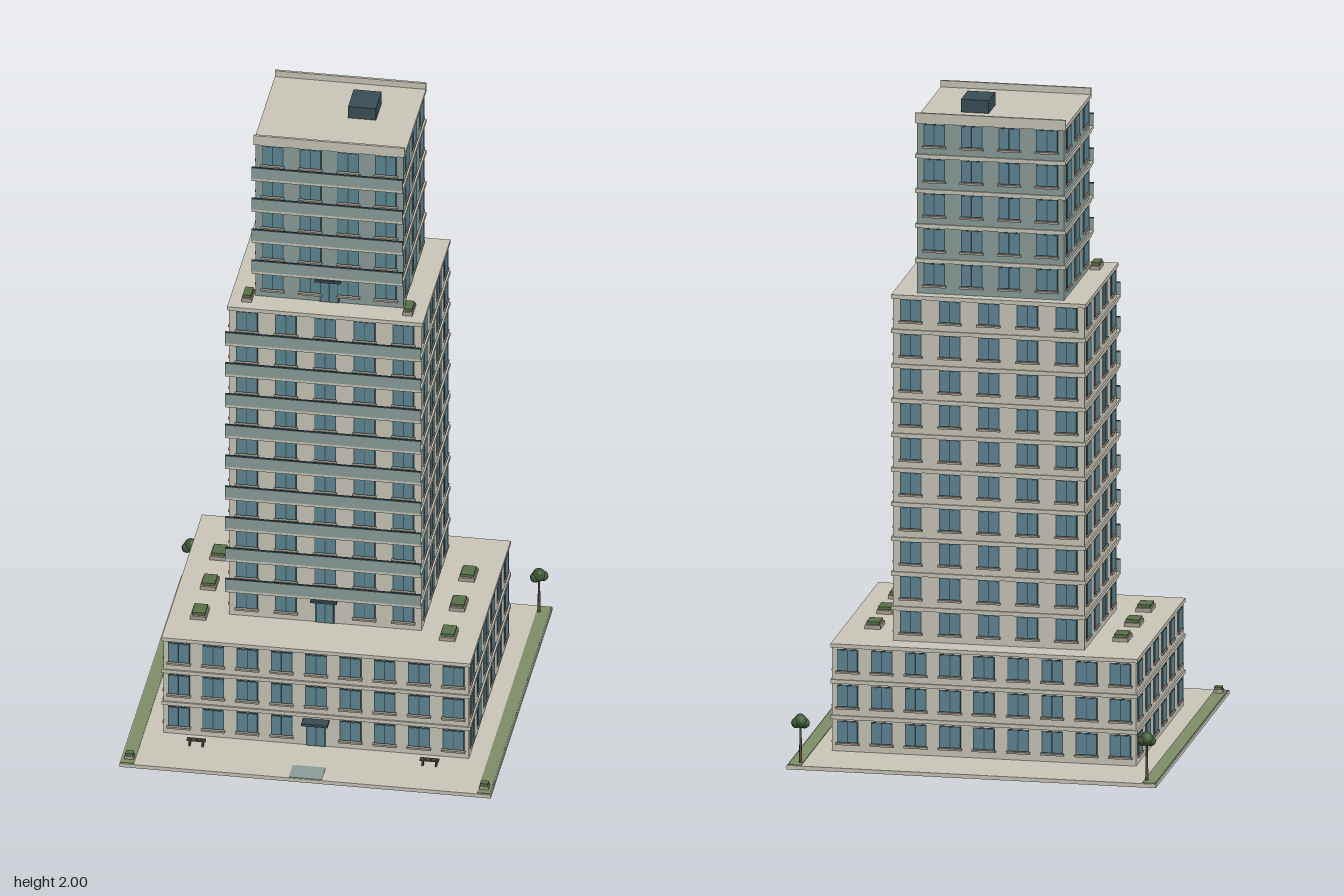
import * as THREE from 'three';
import { mergeGeometries } from 'three/addons/utils/BufferGeometryUtils.js';

const mat = (name, color) => {
  const m = new THREE.MeshStandardMaterial({ color });
  m.name = name;
  return m;
};

export function createModel() {
  const root = new THREE.Group();
  root.name = 'steppedTower';
  const M = {
    stone: mat('stone', 0xcbc8ba),
    trim: mat('trim', 0xaaa295),
    tealWall: mat('teal cladding', 0x8c9f9b),
    glass: mat('window glass', 0x5f8794),
    dark: mat('dark metal', 0x3a4e55),
    grass: mat('grass', 0x7f9068),
    leaf: mat('foliage', 0x3f5a38),
    hedge: mat('hedge', 0x5a7148),
    wood: mat('wood', 0x5a4a3c),
  };

  // Box given by its limits on each axis
  const box = (x0, x1, y0, y1, z0, z1) =>
    new THREE.BoxGeometry(x1 - x0, y1 - y0, z1 - z0)
      .translate((x0 + x1) / 2, (y0 + y1) / 2, (z0 + z1) / 2);
  const centred = (x, y0, z, w, h, d) =>
    box(x - w / 2, x + w / 2, y0, y0 + h, z - d / 2, z + d / 2);
  const add = (parent, name, material, parts) => {
    const mesh = new THREE.Mesh(mergeGeometries(parts), material);
    mesh.name = name;
    parent.add(mesh);
    return mesh;
  };
  const group = (name) => {
    const g = new THREE.Group();
    g.name = name;
    root.add(g);
    return g;
  };

  // One tier: walls, floor bands, windows on four sides, door and balconies
  function tier(name, o) {
    const g = group(name);
    const { w, zb, zf, y0, fh, floors, nx, nz, wall, balcony } = o;
    const top = y0 + fh * floors, e = 0.005;
    add(g, 'walls', wall, [box(-w + e, w - e, y0, top - 0.002, zb + e, zf - e)]);

    const bands = [], sills = [], frames = [], panes = [];
    for (let f = 1; f <= floors; f++) {
      const y = y0 + f * fh;
      bands.push(box(-w, w, y - 0.012, y, zb, zf));
    }
    add(g, 'floorBands', M.stone, bands);

    // Windows are made facing +z, then turned onto each side
    const cx = (zb + zf) / 2, depth = zf - zb;
    const sides = [
      { a: 0, n: nx, len: 2 * w, off: depth / 2, front: true },
      { a: Math.PI, n: nx, len: 2 * w, off: depth / 2 },
      { a: Math.PI / 2, n: nz, len: depth, off: w },
      { a: -Math.PI / 2, n: nz, len: depth, off: w },
    ];
    for (const s of sides) {
      const place = (geo) => geo.rotateY(s.a).translate(0, 0, cx);
      const face = s.off - e;
      for (let f = 0; f < floors; f++) {
        for (let i = 0; i < s.n; i++) {
          const x = ((i + 0.5) / s.n - 0.5) * s.len;
          if (s.front && f === 0 && Math.abs(x) < 0.03) continue;
          const y = y0 + f * fh + 0.027;
          frames.push(place(box(x - 0.033, x + 0.033, y, y + 0.068, face, face + 0.002)));
          for (const k of [-1, 1])
            panes.push(place(centred(x + k * 0.0157, y + 0.003, face + 0.0022, 0.0285, 0.062, 0.003)));
          sills.push(place(box(x - 0.036, x + 0.036, y - 0.006, y, face,
            face + (s.off === w ? 0.006 : 0.011))));
        }
      }
    }
    add(g, 'windowFrames', M.dark, frames);
    add(g, 'windowPanes', M.glass, panes);
    add(g, 'windowSills', M.trim, sills);

    // Entrance with canopy
    const d = zf - e;
    add(g, 'doorFrame', M.dark, [
      box(-0.03, 0.03, y0, y0 + 0.086, d, d + 0.003),
      box(-0.04, 0.04, y0 + 0.084, y0 + 0.092, d, zf + 0.03),
    ]);
    add(g, 'doorLeaves', M.glass, [-1, 1].map((k) =>
      centred(k * 0.0135, y0 + 0.003, d + 0.003, 0.023, 0.077, 0.004)));

    // Balconies across the front of the upper floors
    if (balcony) {
      const slabs = [], rails = [], caps = [], out = zf + balcony;
      for (let f = 1; f < floors; f++) {
        const y = y0 + f * fh;
        slabs.push(box(-w, w, y - 0.008, y, zf - e, out));
        rails.push(box(-w, w, y, y + 0.036, out - 0.003, out));
        caps.push(box(-w, w, y + 0.036, y + 0.04, out - 0.004, out + 0.001));
      }
      add(g, 'balconySlabs', M.stone, slabs);
      add(g, 'balconyPanels', M.tealWall, rails);
      add(g, 'balconyHandrails', M.dark, caps);
    }
    return g;
  }

  const base = 0.012;
  tier('podium', { w: 0.47, zb: -0.37, zf: 0.365, y0: base, fh: 0.111, floors: 3,
    nx: 9, nz: 6, wall: M.stone });
  tier('middleTower', { w: 0.298, zb: -0.3, zf: 0.2, y0: 0.345, fh: 0.1075, floors: 10,
    nx: 5, nz: 4, wall: M.stone, balcony: 0.034 });
  const crown = tier('upperTower', { w: 0.23, zb: -0.27, zf: 0.125, y0: 1.42, fh: 0.108,
    floors: 5, nx: 4, nz: 3, wall: M.tealWall, balcony: 0.037 });

  // Roof parapets and plant room
  add(crown, 'roofParapets', M.stone, [
    box(-0.23, 0.23, 1.96, 1.98, -0.27, -0.262),
    box(-0.23, 0.23, 1.96, 1.98, 0.117, 0.125),
  ]);
  add(crown, 'plantRoom', M.dark, [box(0.027, 0.112, 1.96, 2.0, -0.16, -0.058)]);

  // Ground slab, grass strips and entrance mat
  const site = group('site');
  add(site, 'groundSlab', M.stone, [box(-0.565, 0.565, 0, base, -0.562, 0.562)]);
  add(site, 'grassStrips', M.grass, [-1, 1].map((s) =>
    centred(s * 0.542, base, 0, 0.04, 0.002, 1.115)));
  add(site, 'entranceMat', M.tealWall, [box(-0.05, 0.05, base, base + 0.002, 0.487, 0.56)]);

  // Planters: terraces and front corners
  const boxes = [], hedges = [];
  const planter = (x, y, z, w, d) => {
    boxes.push(centred(x, y, z, w, 0.012, d));
    hedges.push(centred(x, y + 0.012, z, w * 0.84, 0.009, d * 0.8));
  };
  for (const s of [-1, 1]) {
    for (const z of [-0.145, 0.033, 0.21]) planter(s * 0.379, 0.345, z, 0.048, 0.068);
    planter(s * 0.245, 1.42, 0.133, 0.03, 0.062);
    planter(s * 0.54, base, 0.525, 0.028, 0.024);
  }
  add(site, 'planterBoxes', M.trim, boxes);
  add(site, 'planterHedges', M.hedge, hedges);

  // Benches and back-corner trees
  const slats = [], legs = [], trunks = [], crowns = [];
  for (const s of [-1, 1]) {
    for (const k of [-1, 0, 1])
      slats.push(centred(s * 0.355, 0.03, 0.42 + k * 0.006, 0.058, 0.004, 0.0045));
    for (const k of [-1, 1])
      legs.push(centred(s * 0.355 + k * 0.02, base, 0.42, 0.005, 0.018, 0.014));
    trunks.push(new THREE.CylinderGeometry(0.003, 0.005, 0.115, 8)
      .translate(s * 0.53, base + 0.0575, -0.525));
    for (const [x, y, z, r] of [[0, 0.142, 0, 0.021], [-0.011, 0.135, 0.005, 0.016],
      [0.012, 0.137, -0.004, 0.016], [0.002, 0.15, 0.006, 0.014]])
      crowns.push(new THREE.SphereGeometry(r, 10, 8).translate(s * 0.53 + x, y, -0.525 + z));
  }
  add(site, 'benchSlats', M.wood, slats);
  add(site, 'benchLegs', M.dark, legs);
  add(site, 'treeTrunks', M.wood, trunks);
  add(site, 'treeCrowns', M.leaf, crowns);
  return root;
}
